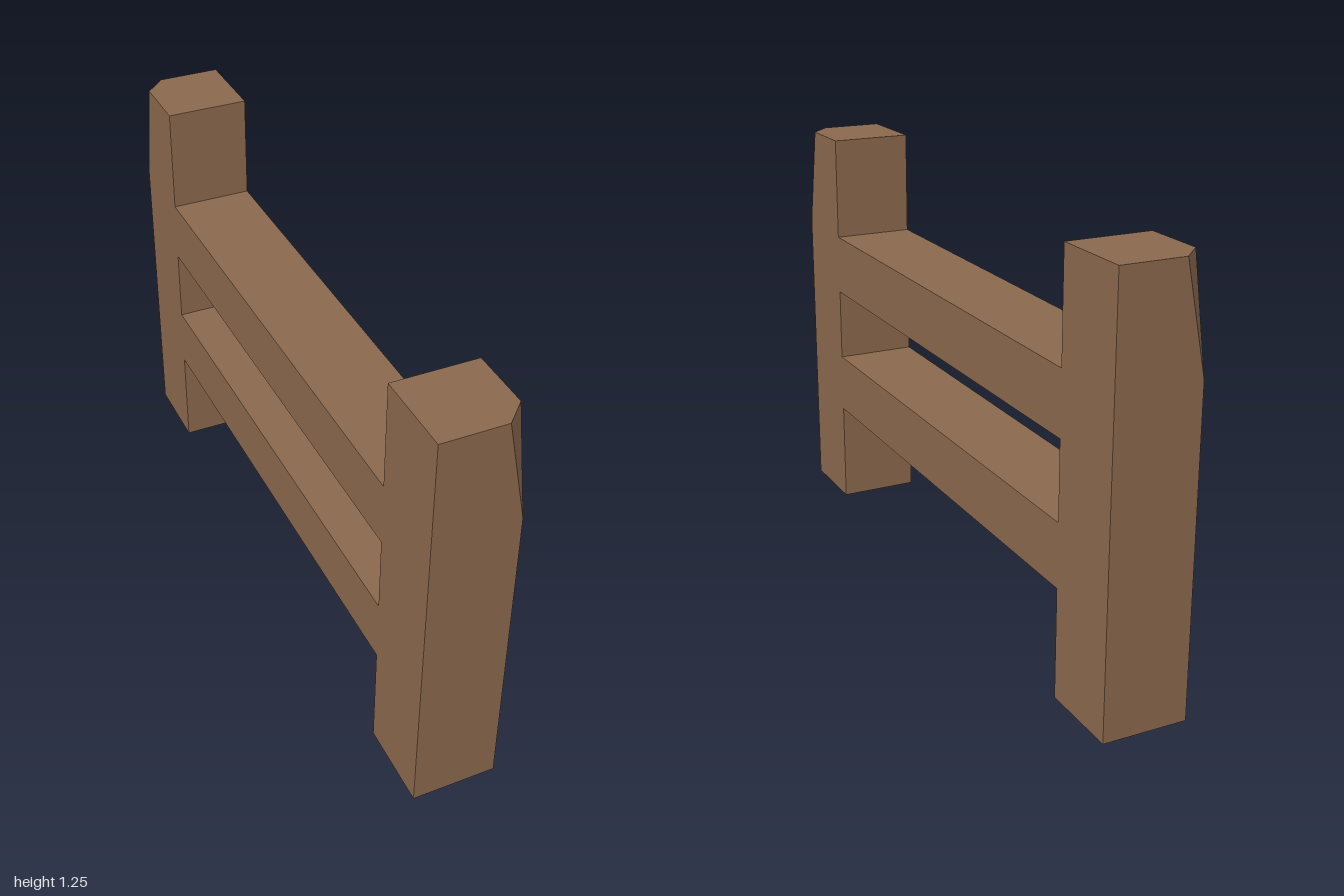
import * as THREE from 'three';

const wood = new THREE.MeshStandardMaterial({ color: 0x8a684d, side: THREE.DoubleSide });
wood.name = 'brown wood';

const R = 0.125;    // half width of posts and rails
const H = 1.25;     // post height
const CUT = 0.0625; // where the corner cut meets the top
const LOW = 0.9375; // where the corner cut ends on the post edge

// Flat-shaded geometry from convex polygons, each split as a fan
function fromPolygons(polygons) {
  const positions = [];
  for (const p of polygons) {
    for (let i = 1; i < p.length - 1; i++) positions.push(...p[0], ...p[i], ...p[i + 1]);
  }
  const geometry = new THREE.BufferGeometry();
  geometry.setAttribute('position', new THREE.Float32BufferAttribute(positions, 3));
  geometry.computeVertexNormals();
  return geometry;
}

// Square post, open at the bottom, with one upper corner sliced off
function postGeometry() {
  const tip = [R, LOW, R], cutFront = [CUT, H, R], cutSide = [R, H, CUT];
  return fromPolygons([
    [[-R, 0, R], [R, 0, R], tip, cutFront, [-R, H, R]],     // outer end
    [[R, 0, R], [R, 0, -R], [R, H, -R], cutSide, tip],      // cut side
    [[R, 0, -R], [-R, 0, -R], [-R, H, -R], [R, H, -R]],     // inner end
    [[-R, 0, -R], [-R, 0, R], [-R, H, R], [-R, H, -R]],     // plain side
    [[-R, H, R], cutFront, cutSide, [R, H, -R], [-R, H, -R]], // top
    [tip, cutSide, cutFront],                               // corner cut
  ]);
}

export function createModel() {
  const model = new THREE.Group();
  model.name = 'fence';

  // The back post is the front one turned half round
  const post = postGeometry();
  for (const [name, z, turn] of [['frontPost', 0.875, 0], ['backPost', -0.875, Math.PI]]) {
    const mesh = new THREE.Mesh(post, wood);
    mesh.name = name;
    mesh.position.z = z;
    mesh.rotation.y = turn;
    model.add(mesh);
  }

  // Rails between the posts, without the hidden end faces
  const rail = new THREE.BoxGeometry(2 * R, 0.1875, 1.5);
  rail.setIndex(Array.from(rail.index.array).slice(0, 24));
  rail.clearGroups();
  for (const [name, y] of [['lowerRail', 0.418], ['upperRail', 0.836]]) {
    const mesh = new THREE.Mesh(rail, wood);
    mesh.name = name;
    mesh.position.y = y;
    model.add(mesh);
  }
  return model;
}
